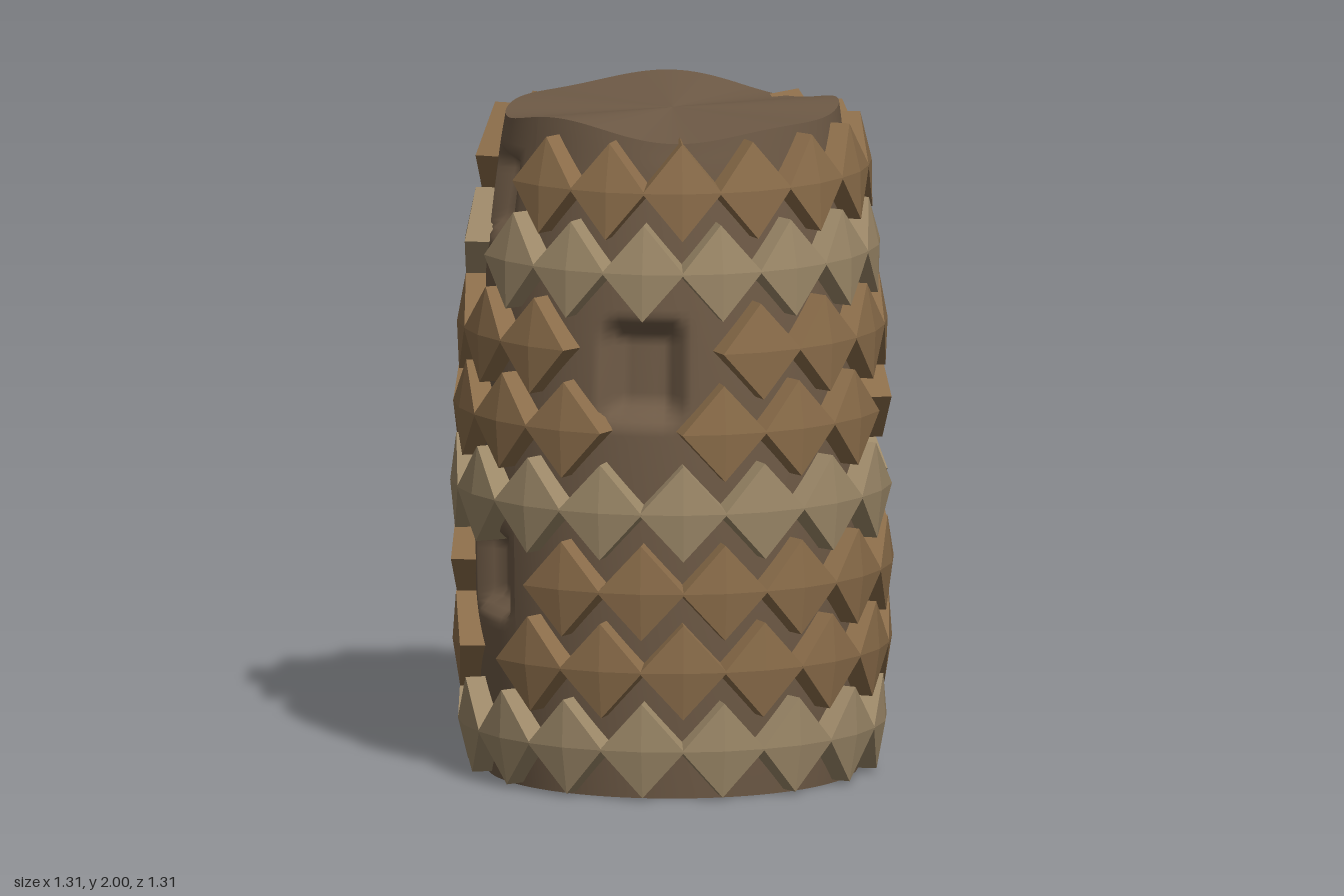
import * as THREE from 'three';

const ROWS = 8, COUNT = 16, STEP = Math.PI * 2 / COUNT;
const deg = THREE.MathUtils.degToRad;
const smooth = THREE.MathUtils.smoothstep;

// outer radius over the scales, and the bark radius beneath them
const outer = y => 0.655 - 0.06 * (y - 0.75) ** 2;
const bark = y => outer(y) - 0.075;

// hollows in the bark: angle from the front (degrees), height, half width, half height
const hollows = [
  [-15, 0.62, 0.13, 0.14],
  [-22.5, 1.73, 0.13, 0.14],
  [44, 1.27, 0.13, 0.17],
  [138, 1.06, 0.12, 0.14],
];

// scales that have fallen off, per row (degrees)
const missing = {
  1: [-11.25], 2: [0, -22.5],
  3: [146.25], 4: [45, 135],
  5: [33.75, 56.25],
  6: [-22.5], 7: [-11.25, -33.75],
};

function wrap(a) {
  return Math.atan2(Math.sin(a), Math.cos(a));
}

// trunk core: barrel profile, dented at the hollows, wavy cut at the top
function trunkGeometry() {
  const g = new THREE.CylinderGeometry(1, 1, 1.97, 128, 100);
  const p = g.attributes.position;
  for (let i = 0; i < p.count; i++) {
    let y = p.getY(i) + 0.985;
    const unit = Math.hypot(p.getX(i), p.getZ(i));
    const a = Math.atan2(p.getX(i), p.getZ(i));
    let r = bark(y);
    for (const [angle, hy, hw, hh] of hollows) {
      const u = Math.abs(wrap(a - deg(angle))) * r / hw;
      const v = Math.abs(y - hy) / hh;
      r -= 0.075 * (1 - smooth(u, 0.65, 1)) * (1 - smooth(v, 0.5, 1));
    }
    const wave = 0.018 * Math.sin(3 * a + 1.2) + 0.012 * Math.sin(5 * a + 0.4);
    y += wave * smooth(y, 1.85, 1.97) * unit;
    p.setXYZ(i, Math.sin(a) * r * unit, y, Math.cos(a) * r * unit);
  }
  g.computeVertexNormals();
  return g;
}

// one scale: a thick diamond with a low pyramid face, leaning with the trunk
function scaleGeometry(y) {
  const w = 0.2 * outer(y), h = 0.142;
  const corners = [[w, 0], [0, h], [-w, 0], [0, -h]];
  const front = corners.map(([cx, cy]) => [cx, cy, outer(y + cy) - 0.015]);
  const back = corners.map(([cx, cy]) => [cx, cy, outer(y + cy) - 0.14]);
  const centre = [0, 0, outer(y)];
  const v = [];
  for (let i = 0; i < 4; i++) {
    const j = (i + 1) % 4;
    v.push(...centre, ...front[i], ...front[j]);
    v.push(...front[i], ...back[i], ...back[j]);
    v.push(...front[i], ...back[j], ...front[j]);
  }
  const g = new THREE.BufferGeometry();
  g.setAttribute('position', new THREE.Float32BufferAttribute(v, 3));
  g.computeVertexNormals();
  return g;
}

export function createModel() {
  const model = new THREE.Group();
  model.name = 'palmTrunk';

  const core = new THREE.Mesh(trunkGeometry(), new THREE.MeshStandardMaterial({ color: 0x6e5a46 }));
  core.name = 'trunkCore';
  model.add(core);

  const brown = new THREE.MeshStandardMaterial({ color: 0x8b6d4a, flatShading: true });
  const pale = new THREE.MeshStandardMaterial({ color: 0x9c8868, flatShading: true });

  // staggered rows of scales, every third one pale
  for (let row = 0; row < ROWS; row++) {
    const y = 0.152 + row * 0.237;
    const geometry = scaleGeometry(y);
    const ring = new THREE.Group();
    ring.name = `scaleRow${row + 1}`;
    ring.position.y = y;
    for (let i = 0; i < COUNT; i++) {
      const a = (i + (row % 2) / 2) * STEP;
      if ((missing[row] || []).some(m => Math.abs(wrap(a - deg(m))) < 0.05)) continue;
      const scale = new THREE.Mesh(geometry, row % 3 === 0 ? pale : brown);
      scale.name = 'barkScale';
      scale.rotation.y = a;
      ring.add(scale);
    }
    model.add(ring);
  }
  return model;
}
